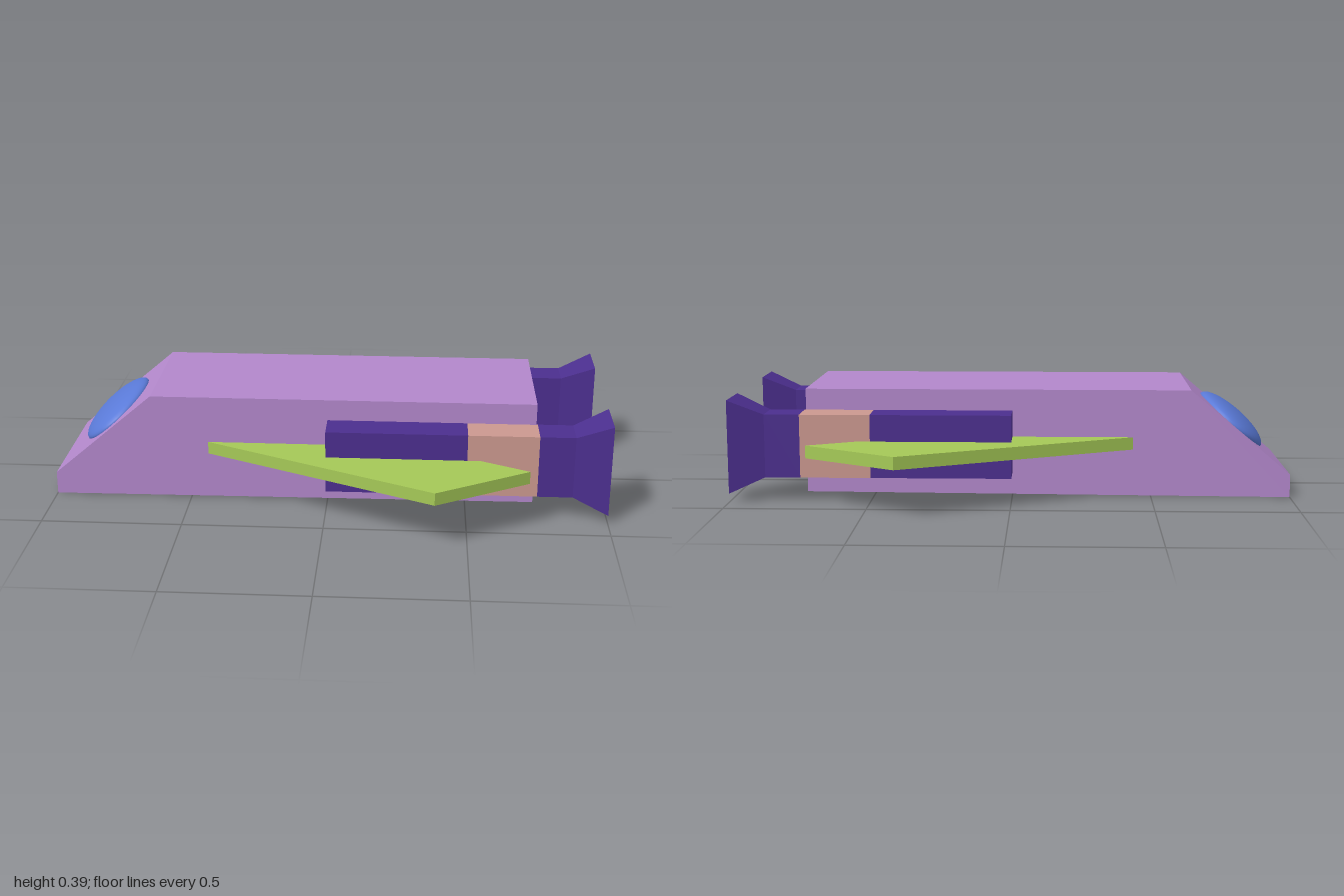
import * as THREE from 'three';

const paint = (color) => new THREE.MeshStandardMaterial({ color, flatShading: true });
const HULL = paint(0xb388cc), WING = paint(0xa5c957), ENGINE = paint(0x4c2f8f);
const BAND = paint(0xcc9990), GLOW = paint(0xcc0c14);
const GLASS = new THREE.MeshStandardMaterial({ color: 0x5a7ad8 });

function add(parent, name, geometry, material) {
  const mesh = new THREE.Mesh(geometry, material);
  mesh.name = name;
  parent.add(mesh);
  return mesh;
}

const polygon = (points) => new THREE.Shape(points.map(([x, y]) => new THREE.Vector2(x, y)));

// Rectangular sections [x, half height, half width] joined along x
function loft(sections, capStart) {
  const rings = sections.map(([x, h, w]) => [[x, -h, -w], [x, h, -w], [x, h, w], [x, -h, w]]);
  const pos = [];
  const quad = (a, b, c, d) => pos.push(...a, ...b, ...c, ...a, ...c, ...d);
  for (let i = 0; i < rings.length - 1; i++) {
    const a = rings[i], b = rings[i + 1];
    for (let j = 0; j < 4; j++) {
      const k = (j + 1) % 4;
      quad(a[j], a[k], b[k], b[j]);
    }
  }
  if (capStart) quad(...[...rings[0]].reverse());
  const g = new THREE.BufferGeometry();
  g.setAttribute('position', new THREE.Float32BufferAttribute(pos, 3));
  g.computeVertexNormals();
  return g;
}

export function createModel() {
  const ship = new THREE.Group();
  ship.name = 'spaceship';

  // Hull: side profile with a sloped nose
  const profile = polygon([[-1, 0], [0.745, 0.01], [0.745, 0.387], [-0.64, 0.387], [-1, 0.082]]);
  const hull = new THREE.ExtrudeGeometry(profile, { depth: 0.506, bevelEnabled: false });
  add(ship, 'hull', hull.translate(0, 0, -0.253), HULL);

  // Canopy: flattened ellipsoid set in the nose slope
  const canopy = add(ship, 'canopy', new THREE.SphereGeometry(1, 40, 24), GLASS);
  canopy.scale.set(0.146, 0.046, 0.213);
  canopy.rotation.z = Math.atan2(0.305, 0.36);
  canopy.position.set(-0.81, 0.243, 0);

  for (const side of [1, -1]) {
    const label = side > 0 ? 'front' : 'back';

    // Swept wing
    const outline = polygon([[-0.44, 0.25], [0.385, 0.66], [0.715, 0.457], [0.31, 0.25]]
      .map(([x, z]) => [x, z * side]));
    const wing = new THREE.ExtrudeGeometry(outline, { depth: 0.045, bevelEnabled: false });
    add(ship, label + 'Wing', wing.rotateX(Math.PI / 2).translate(0, 0.216, 0), WING);

    // Engine: body, coloured band, flared nozzle and recessed exhaust
    const engine = new THREE.Group();
    engine.name = label + 'Engine';
    engine.position.set(0, 0.198, 0.311 * side);
    ship.add(engine);
    const h = 0.113, w = 0.061;
    add(engine, 'engineBody', loft([[0, h, w], [0.5, h, w]], true), ENGINE);
    add(engine, 'engineBand', loft([[0.5, h, w], [0.75, h, w]]), BAND);
    add(engine, 'nozzle', loft([[0.75, h, w], [0.875, h, w], [1, 0.167, 0.091], [0.98, 0.153, 0.072]]), ENGINE);
    const exhaust = add(engine, 'exhaust', new THREE.PlaneGeometry(0.144, 0.306), GLOW);
    exhaust.rotation.y = Math.PI / 2;
    exhaust.position.x = 0.98;
  }
  return ship;
}
